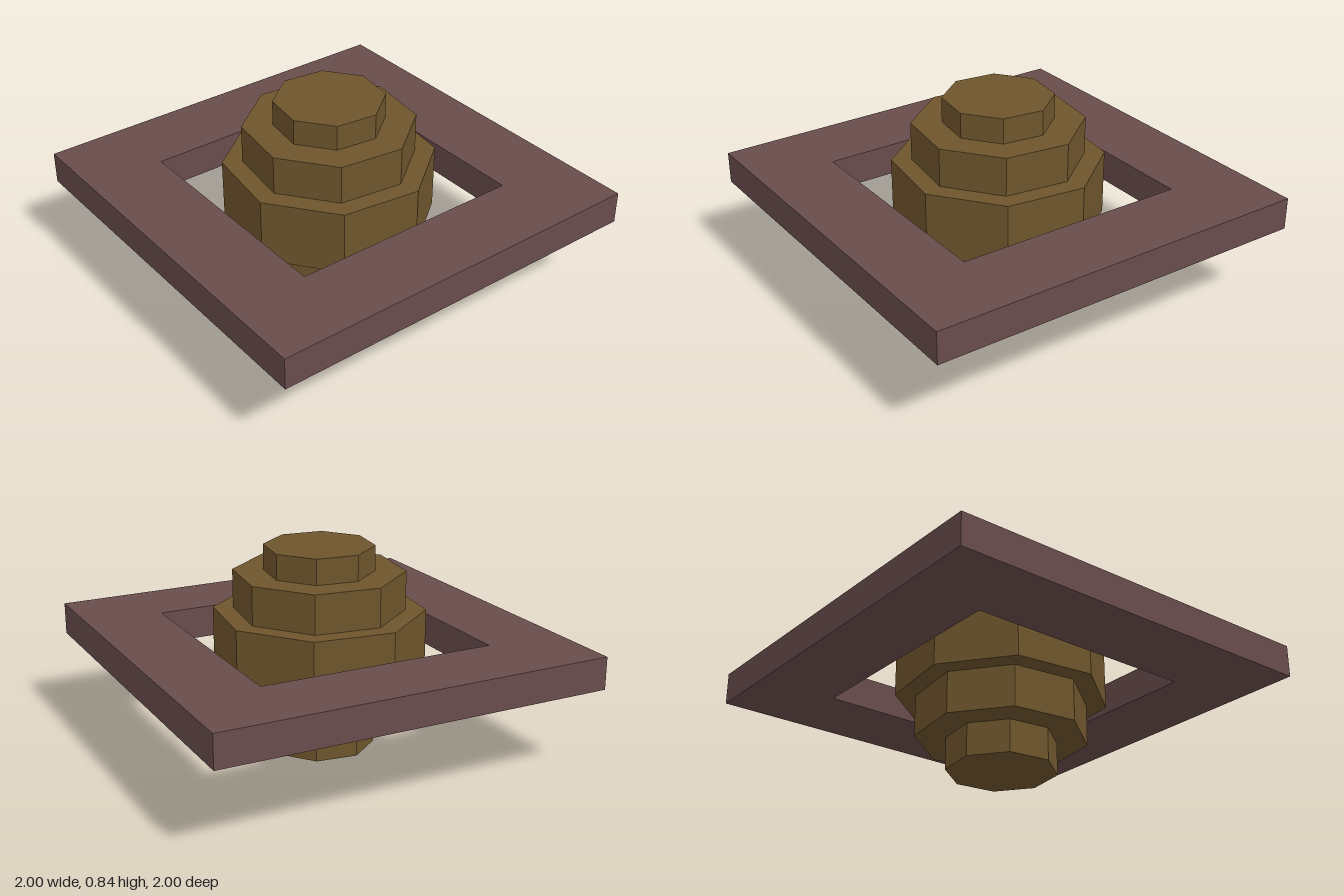
import * as THREE from 'three';

// Four corners made by quarter turns of one corner
function squareCorners(x, y) {
  const points = [];
  for (let i = 0; i < 4; i++) {
    points.push(new THREE.Vector2(x, y));
    [x, y] = [-y, x];
  }
  return points;
}

export function createModel() {
  const group = new THREE.Group();

  // Stepped eight-sided core: [radius, bottom, top] of each tier
  const tiers = [
    [0.225, 0, 0.135],
    [0.35, 0.135, 0.308],
    [0.432, 0.308, 0.577],
    [0.35, 0.577, 0.737],
    [0.225, 0.737, 0.842],
  ];
  const profile = [new THREE.Vector2(0, 0)];
  for (const [r, bottom, top] of tiers) {
    profile.push(new THREE.Vector2(r, bottom), new THREE.Vector2(r, top));
  }
  profile.push(new THREE.Vector2(0, 0.842));
  const core = new THREE.Mesh(
    new THREE.LatheGeometry(profile, 8),
    new THREE.MeshStandardMaterial({ color: 0x6e552c, flatShading: true })
  );
  core.name = 'steppedCore';
  group.add(core);

  // Flat square frame, turned about the core
  const shape = new THREE.Shape(squareCorners(0.577, -1));
  shape.holes.push(new THREE.Path(squareCorners(0.349, -0.605).reverse()));
  const frameGeometry = new THREE.ExtrudeGeometry(shape, { depth: 0.134, bevelEnabled: false });
  frameGeometry.rotateX(-Math.PI / 2);
  const frame = new THREE.Mesh(
    frameGeometry,
    new THREE.MeshStandardMaterial({ color: 0x694c4c, flatShading: true })
  );
  frame.name = 'squareFrame';
  frame.position.y = 0.356;
  group.add(frame);

  return group;
}
